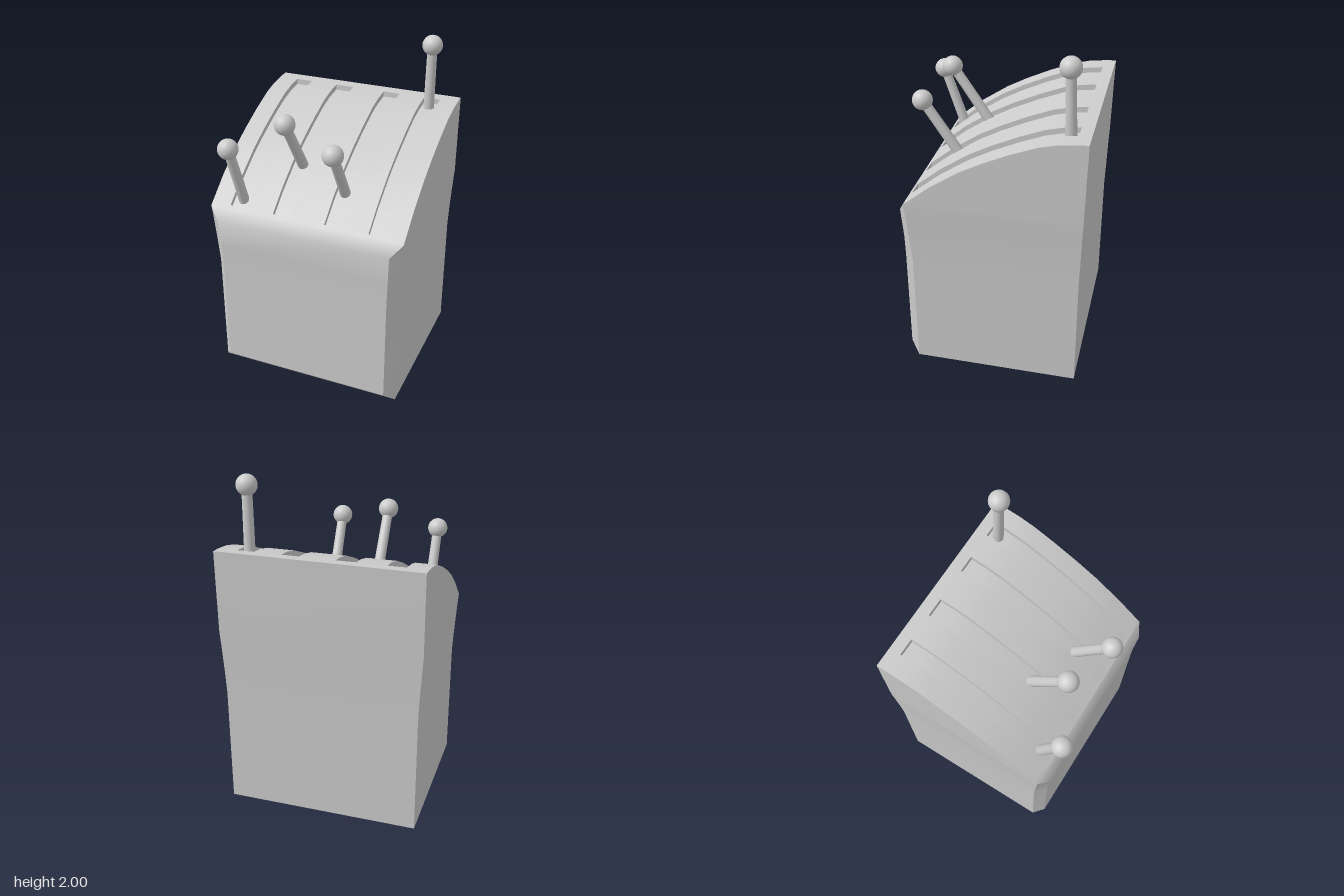
import * as THREE from 'three';
import { toCreasedNormals } from 'three/addons/utils/BufferGeometryUtils.js';

const material = new THREE.MeshStandardMaterial({ color: 0xcccccc });

// Horizontal sections of the lower body: y, half width, side z, front half width, front z, back z
const SECTIONS = [
  [0, 0.575, 0.43, 0.575, 0.43, -0.545],
  [0.06, 0.575, 0.43, 0.52, 0.49, -0.545],
  [0.72, 0.575, 0.43, 0.52, 0.49, -0.545],
  [0.85, 0.58, 0.44, 0.523, 0.492, -0.549],
  [1.03, 0.59, 0.453, 0.53, 0.503, -0.553],
  [1.105, 0.595, 0.46, 0.595, 0.46, -0.556],
];

// Curved top profile from front to back: z, y
const TOP = [
  [0.46, 1.105], [0.44, 1.12], [0.3, 1.235], [0.13, 1.35], [0, 1.42],
  [-0.15, 1.49], [-0.3, 1.55], [-0.4, 1.575], [-0.495, 1.587], [-0.565, 1.592],
];

const SLOTS = [[-0.475, -0.37], [-0.2, -0.085], [0.12, 0.225], [0.385, 0.485]];
const SLOT_DEPTH = 0.033;

// Lever foot and knob centre
const LEVERS = [
  [[-0.42, 1.125, 0.37], [-0.43, 1.512, 0.505]],
  [[-0.145, 1.305, 0.135], [-0.145, 1.65, 0.365]],
  [[0.168, 1.225, 0.24], [0.18, 1.56, 0.455]],
  [[0.43, 1.54, -0.447], [0.437, 1.94, -0.432]],
];

function createBody() {
  const positions = [];
  const tri = (a, b, c) => {
    const [p, q, r] = [a, b, c].map((v) => new THREE.Vector3(...v));
    if (q.clone().sub(p).cross(r.clone().sub(p)).length() > 1e-7) positions.push(...a, ...b, ...c);
  };
  const quad = (a, b, c, d) => { tri(a, b, c); tri(a, c, d); };

  // Lower shell with bevelled front edges
  const rings = SECTIONS.map(([y, w, zs, f, zf, zb]) => [
    [-w, y, zb], [-w, y, zs], [-f, y, zf], [f, y, zf], [w, y, zs], [w, y, zb],
  ]);
  for (let r = 0; r < rings.length - 1; r++) {
    for (let i = 0; i < 6; i++) {
      const j = (i + 1) % 6;
      quad(rings[r][i], rings[r][j], rings[r + 1][j], rings[r + 1][i]);
    }
  }
  quad(rings[0][0], rings[0][5], rings[0][4], rings[0][1]);

  // Upper sides and back
  const [yBase, w, zFront, , , zBack] = SECTIONS[SECTIONS.length - 1];
  const last = TOP.length - 1;
  const zLength = TOP[0][0] - TOP[last][0];
  const base = (z) => zFront + (z - zFront) * (zFront - zBack) / zLength;
  for (let i = 0; i < last; i++) {
    const [z0, y0] = TOP[i];
    const [z1, y1] = TOP[i + 1];
    quad([w, yBase, base(z0)], [w, yBase, base(z1)], [w, y1, z1], [w, y0, z0]);
    quad([-w, yBase, base(z1)], [-w, yBase, base(z0)], [-w, y0, z0], [-w, y1, z1]);
  }
  const [zTop, yTop] = TOP[last];
  quad([w, yBase, zBack], [-w, yBase, zBack], [-w, yTop, zTop], [w, yTop, zTop]);

  // Curved top in strips, every second strip sunk to form a slot
  const xs = [-w, ...SLOTS.flat(), w];
  for (let s = 0; s < xs.length - 1; s++) {
    const [x0, x1] = [xs[s], xs[s + 1]];
    for (let i = 0; i < last; i++) {
      const sunk = s % 2 === 1 && i > 0 && i < last - 1;
      const [z0, y0] = TOP[i];
      const [z1, y1] = TOP[i + 1];
      const d = sunk ? SLOT_DEPTH : 0;
      quad([x0, y0 - d, z0], [x1, y0 - d, z0], [x1, y1 - d, z1], [x0, y1 - d, z1]);
      if (!sunk) continue;
      // Slot side walls
      quad([x0, y0 - d, z0], [x0, y1 - d, z1], [x0, y1, z1], [x0, y0, z0]);
      quad([x1, y1 - d, z1], [x1, y0 - d, z0], [x1, y0, z0], [x1, y1, z1]);
      // Slot end walls
      if (i === 1) quad([x1, y0 - d, z0], [x0, y0 - d, z0], [x0, y0, z0], [x1, y0, z0]);
      if (i === last - 2) quad([x0, y1 - d, z1], [x1, y1 - d, z1], [x1, y1, z1], [x0, y1, z1]);
    }
  }

  const geometry = new THREE.BufferGeometry();
  geometry.setAttribute('position', new THREE.Float32BufferAttribute(positions, 3));
  const body = new THREE.Mesh(toCreasedNormals(geometry, 0.6), material);
  body.name = 'consoleBody';
  return body;
}

// Lever built upright from its foot, then tilted towards the knob
function createLever([foot, knobCentre]) {
  const start = new THREE.Vector3(...foot);
  const direction = new THREE.Vector3(...knobCentre).sub(start);
  const length = direction.length();
  const lever = new THREE.Group();
  const shaft = new THREE.Mesh(new THREE.CylinderGeometry(0.029, 0.032, length, 24), material);
  shaft.name = 'leverShaft';
  shaft.position.y = length / 2;
  const knob = new THREE.Mesh(new THREE.SphereGeometry(0.06, 32, 20), material);
  knob.name = 'leverKnob';
  knob.position.y = length;
  lever.add(shaft, knob);
  lever.position.copy(start);
  lever.quaternion.setFromUnitVectors(new THREE.Vector3(0, 1, 0), direction.normalize());
  return lever;
}

export function createModel() {
  const model = new THREE.Group();
  model.name = 'leverConsole';
  model.add(createBody());
  LEVERS.forEach((points, i) => {
    const lever = createLever(points);
    lever.name = `lever${i + 1}`;
    model.add(lever);
  });
  return model;
}
